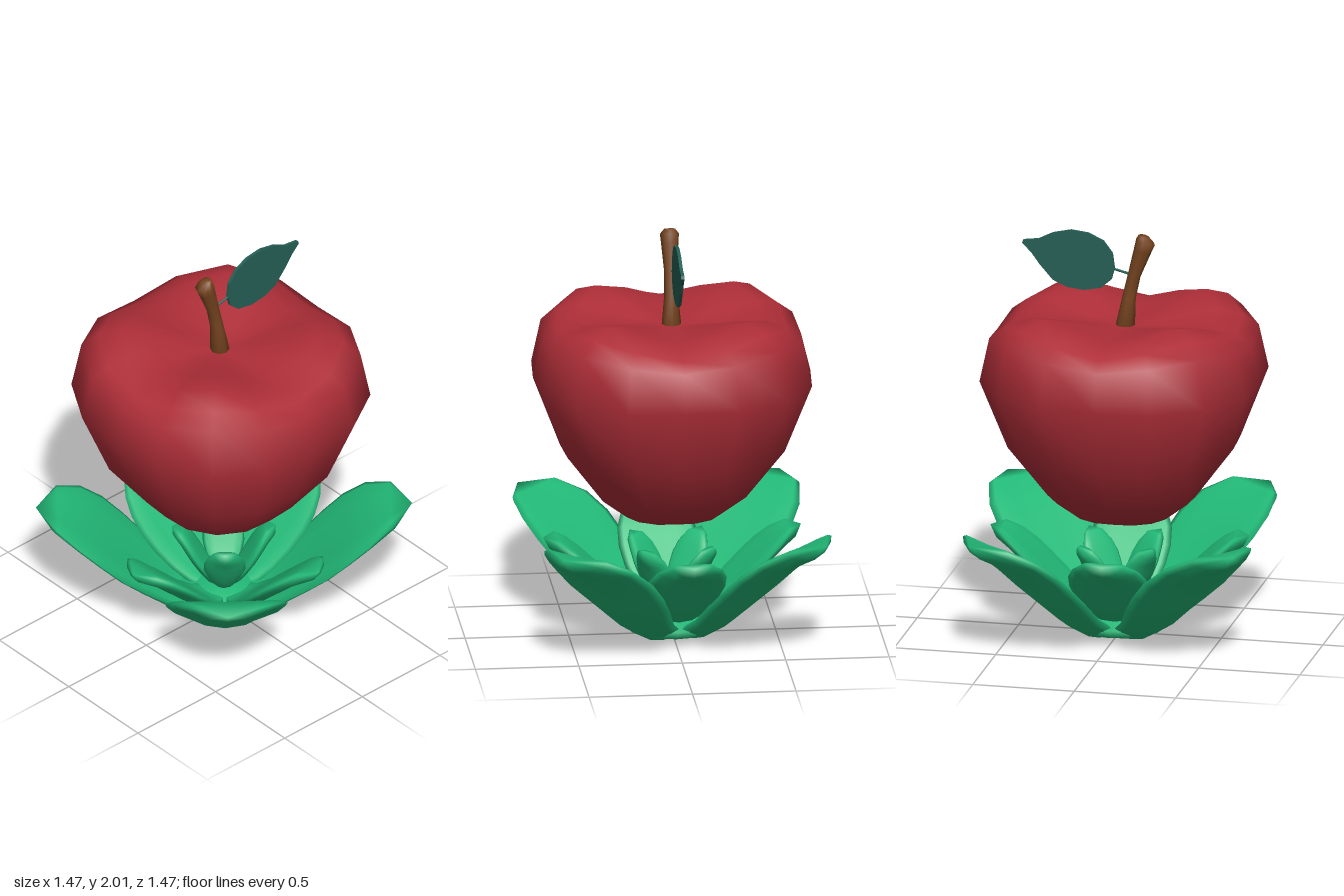
import * as THREE from 'three';
import { mergeVertices } from 'three/addons/utils/BufferGeometryUtils.js';

const mat = (name, color) => {
  const m = new THREE.MeshStandardMaterial({ color });
  m.name = name;
  return m;
};
const v2 = (pts) => pts.map(([x, y]) => new THREE.Vector2(x, y));

// Weld seams and give one smooth surface
function smooth(geo) {
  geo.deleteAttribute('uv');
  geo.deleteAttribute('normal');
  const g = mergeVertices(geo, 1e-4);
  g.computeVertexNormals();
  return g;
}

// Apple: a lathe made slightly square, with four raised shoulders
function appleGeometry() {
  // radius, height, extra height on the diagonals
  const rings = [
    [0, 0.57, 0], [0.12, 0.574, 0], [0.23, 0.6, 0], [0.355, 0.7, 0],
    [0.54, 0.95, 0], [0.67, 1.29, 0], [0.625, 1.475, 0.055],
    [0.55, 1.52, 0.08], [0.44, 1.545, 0.095], [0.3, 1.545, 0.06], [0.15, 1.54, 0.015], [0, 1.53, 0],
  ];
  const geo = new THREE.LatheGeometry(v2(rings), 16);
  const p = geo.attributes.position;
  for (let i = 0; i < p.count; i++) {
    const ring = rings[i % rings.length];
    const a = Math.floor(i / rings.length) * Math.PI / 8;
    const s = Math.abs(Math.sin(2 * a));
    const k = 1 + 0.075 * s;
    p.setXYZ(i, p.getX(i) * k, ring[1] + ring[2] * s ** 1.8, p.getZ(i) * k);
  }
  return smooth(geo);
}

// Petal: a sphere drawn out along a spine (radius, height), widened and cupped
function petalGeometry(spine, widths, thick, cup) {
  const rows = widths.length - 1, cols = 12;
  const curve = new THREE.SplineCurve(v2(spine));
  const geo = new THREE.SphereGeometry(1, cols, rows);
  const p = geo.attributes.position;
  for (let i = 0; i < p.count; i++) {
    const row = Math.floor(i / (cols + 1));
    const a = (i % (cols + 1)) / cols * Math.PI * 2;
    const t = 1 - row / rows;
    const c = curve.getPoint(t), d = curve.getTangent(t);
    const w = widths[rows - row];
    const u = Math.sin(a) * w;
    const end = row === 0 || row === rows ? 0 : 1;
    const n = (-Math.cos(a) * thick + cup * Math.sin(a) ** 2) * end;
    p.setXYZ(i, c.x - d.y * n, c.y + d.x * n, -u);
  }
  return smooth(geo);
}

// Stem: a cylinder bent and waisted along its height, rounded at the top
function stemGeometry() {
  // centre x, height, radius, slant of the ring
  const rings = [
    [-0.118, 1.99, 0.026, 0.25], [-0.126, 1.962, 0.046, 0.3], [-0.112, 1.92, 0.042, 0.25],
    [-0.07, 1.79, 0.031, 0.15], [-0.045, 1.68, 0.033, 0.1], [-0.027, 1.54, 0.047, 0],
  ];
  const segments = rings.length - 1;
  const geo = new THREE.CylinderGeometry(1, 1, 1, 8, segments);
  const p = geo.attributes.position;
  for (let i = 0; i < p.count; i++) {
    const [x, y, r, slant] = rings[Math.round((0.5 - p.getY(i)) * segments)];
    const dx = p.getX(i) * r;
    p.setXYZ(i, x + dx, y + dx * slant, p.getZ(i) * r);
  }
  return smooth(geo);
}

export function createModel() {
  const red = mat('apple red', 0xae2e38);
  const green = mat('petal green', 0x22ba78);
  const brown = mat('stem brown', 0x774520);
  const teal = mat('leaf teal', 0x245f54);

  const model = new THREE.Group();
  model.name = 'appleOnPetals';
  const add = (name, geo, material, parent = model) => {
    const m = new THREE.Mesh(geo, material);
    m.name = name;
    parent.add(m);
    return m;
  };

  // Fruit and stem
  add('apple', appleGeometry(), red).position.x = -0.02;
  add('stem', stemGeometry(), brown);

  // Thin upright leaf with its twig
  const outline = [
    [0.025, 1.82], [0.04, 1.765], [0.09, 1.72], [0.175, 1.703], [0.26, 1.713], [0.33, 1.745],
    [0.395, 1.82], [0.435, 1.875], [0.48, 1.92], [0.475, 1.935], [0.4, 1.945], [0.33, 1.98],
    [0.24, 2.0], [0.155, 1.99], [0.08, 1.955], [0.035, 1.895],
  ];
  const leaf = new THREE.ExtrudeGeometry(new THREE.Shape(v2(outline)), { depth: 0.016, bevelEnabled: false });
  add('leaf', leaf, teal).position.z = -0.013;
  const twig = new THREE.LineCurve3(new THREE.Vector3(-0.06, 1.795, -0.005), new THREE.Vector3(0.04, 1.82, -0.005));
  add('twig', new THREE.TubeGeometry(twig, 1, 0.006, 6), teal);

  // Three rings of four petals, each ring turned by an eighth
  const layers = [
    {
      name: 'outerPetal', turn: 40.5, thick: 0.04, cup: 0.035,
      spine: [[0.0, 0.04], [0.2, 0.05], [0.45, 0.26], [0.68, 0.465], [0.905, 0.585]],
      widths: [0, 0.13, 0.16, 0.19, 0.245, 0.285, 0.295, 0.27, 0.185, 0],
    },
    {
      name: 'middlePetal', turn: 85.5, thick: 0.034, cup: 0.025,
      spine: [[0.0, 0.08], [0.16, 0.11], [0.34, 0.27], [0.5, 0.42], [0.63, 0.505]],
      widths: [0, 0.08, 0.11, 0.145, 0.18, 0.195, 0.19, 0.16, 0.1, 0],
    },
    {
      name: 'innerPetal', turn: 40.5, thick: 0.03, cup: 0.015,
      spine: [[0.0, 0.12], [0.06, 0.17], [0.13, 0.28], [0.19, 0.39], [0.25, 0.465]],
      widths: [0, 0.045, 0.065, 0.085, 0.1, 0.1, 0.085, 0.055, 0],
    },
  ];
  const flower = new THREE.Group();
  flower.name = 'petals';
  model.add(flower);
  for (const l of layers) {
    const geo = petalGeometry(l.spine, l.widths, l.thick, l.cup);
    for (let i = 0; i < 4; i++) {
      add(l.name, geo, green, flower).rotation.y = -THREE.MathUtils.degToRad(l.turn + i * 90);
    }
  }

  // Rounded base joining the petals
  const base = [[0, 0.005], [0.14, 0.008], [0.22, 0.025], [0.26, 0.07], [0.2, 0.11], [0.08, 0.14], [0, 0.145]];
  add('petalBase', smooth(new THREE.LatheGeometry(v2(base), 16)), green, flower);

  return model;
}
